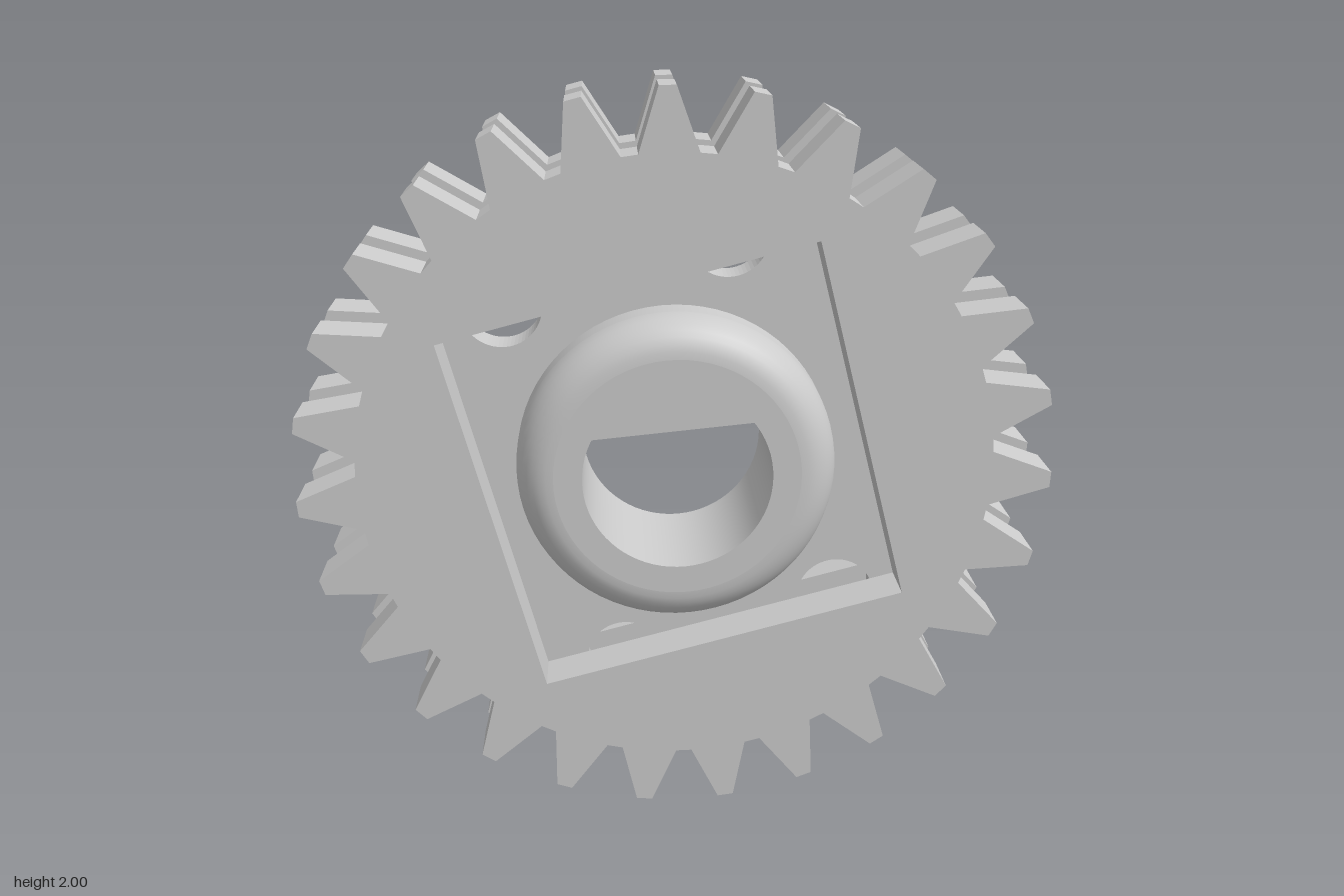
import * as THREE from 'three';

const material = new THREE.MeshStandardMaterial({ color: 0xcccccc });
const rad = THREE.MathUtils.degToRad;
const TEETH = 27;
const BORE = 0.25;

// Point on a circle, angle in degrees
const polar = (r, deg) => new THREE.Vector2(r * Math.cos(rad(deg)), r * Math.sin(rad(deg)));

// Flat plate from a shape, between two z positions
function plate(name, shape, z0, z1, curveSegments = 32) {
  const geometry = new THREE.ExtrudeGeometry(shape, { depth: z1 - z0, bevelEnabled: false, curveSegments });
  geometry.translate(0, 0, z0);
  const mesh = new THREE.Mesh(geometry, material);
  mesh.name = name;
  return mesh;
}

function circleHole(x, y, r) {
  const path = new THREE.Path();
  path.absarc(x, y, r, 0, Math.PI * 2, true);
  return path;
}

// Toothed outline with a tilted square window
function gearShape() {
  const points = [];
  const step = 360 / TEETH;
  for (let i = 0; i < TEETH; i++) {
    const a = 91.33 + i * step;
    points.push(polar(0.84, a - 5.2), polar(1, a - 1.25), polar(1, a + 1.25), polar(0.84, a + 5.2));
  }
  const shape = new THREE.Shape(points);
  const corners = [0, 1, 2, 3].map((i) => polar(0.714, 59.7 - i * 90));
  shape.holes.push(new THREE.Path(corners));
  return shape;
}

// Middle disc with a ring of six round holes
function spacerShape() {
  const shape = new THREE.Shape();
  shape.absarc(0, 0, 0.76, 0, Math.PI * 2, false);
  shape.holes.push(circleHole(0, 0, 0.33));
  for (let i = 0; i < 6; i++) {
    const c = polar(0.62, 77 + i * 60);
    shape.holes.push(circleHole(c.x, c.y, 0.107));
  }
  return shape;
}

// Lathed surface whose profile gives radius and z
function lathe(profile) {
  const geometry = new THREE.LatheGeometry(profile, 72);
  geometry.rotateX(Math.PI / 2);
  return new THREE.Mesh(geometry, material);
}

// Rounded hub: outer skin with filleted rims, and a straight bore
function hub() {
  const group = new THREE.Group();
  group.name = 'hub';
  const fillet = (r, z, size, from, to) => Array.from({ length: 9 }, (_, i) => {
    const p = polar(size, from + (to - from) * i / 8);
    return new THREE.Vector2(r + p.x, z + p.y);
  });
  const back = -0.165, front = 0.2;
  const backRim = fillet(0.375, back + 0.05, 0.05, -90, 0);
  const frontRim = fillet(0.325, front - 0.1, 0.1, 0, 90);
  const parts = {
    hubBackFace: [new THREE.Vector2(BORE, back), backRim[0]],
    hubBackRim: backRim,
    hubWall: [backRim[8], frontRim[0]],
    hubFrontRim: frontRim,
    hubFrontFace: [frontRim[8], new THREE.Vector2(BORE, front)],
    hubBore: [new THREE.Vector2(BORE, front), new THREE.Vector2(BORE, back)],
  };
  for (const [name, profile] of Object.entries(parts)) {
    const mesh = lathe(profile);
    mesh.name = name;
    group.add(mesh);
  }
  return group;
}

// Segment filling the top of the bore, its flat slightly tilted
function boreFlat() {
  const shape = new THREE.Shape();
  shape.absarc(0, 0, BORE + 0.01, rad(25), rad(166), false);
  shape.closePath();
  return plate('boreFlat', shape, -0.1, 0.07);
}

export function createModel() {
  const model = new THREE.Group();
  model.name = 'doubleGear';
  const gear = gearShape();
  model.add(
    plate('frontGear', gear, 0.03, 0.16),
    plate('backGear', gear, -0.2, -0.07),
    plate('spacerDisc', spacerShape(), -0.07, 0.03),
    hub(),
    boreFlat(),
  );
  model.position.y = 1;
  return model;
}
